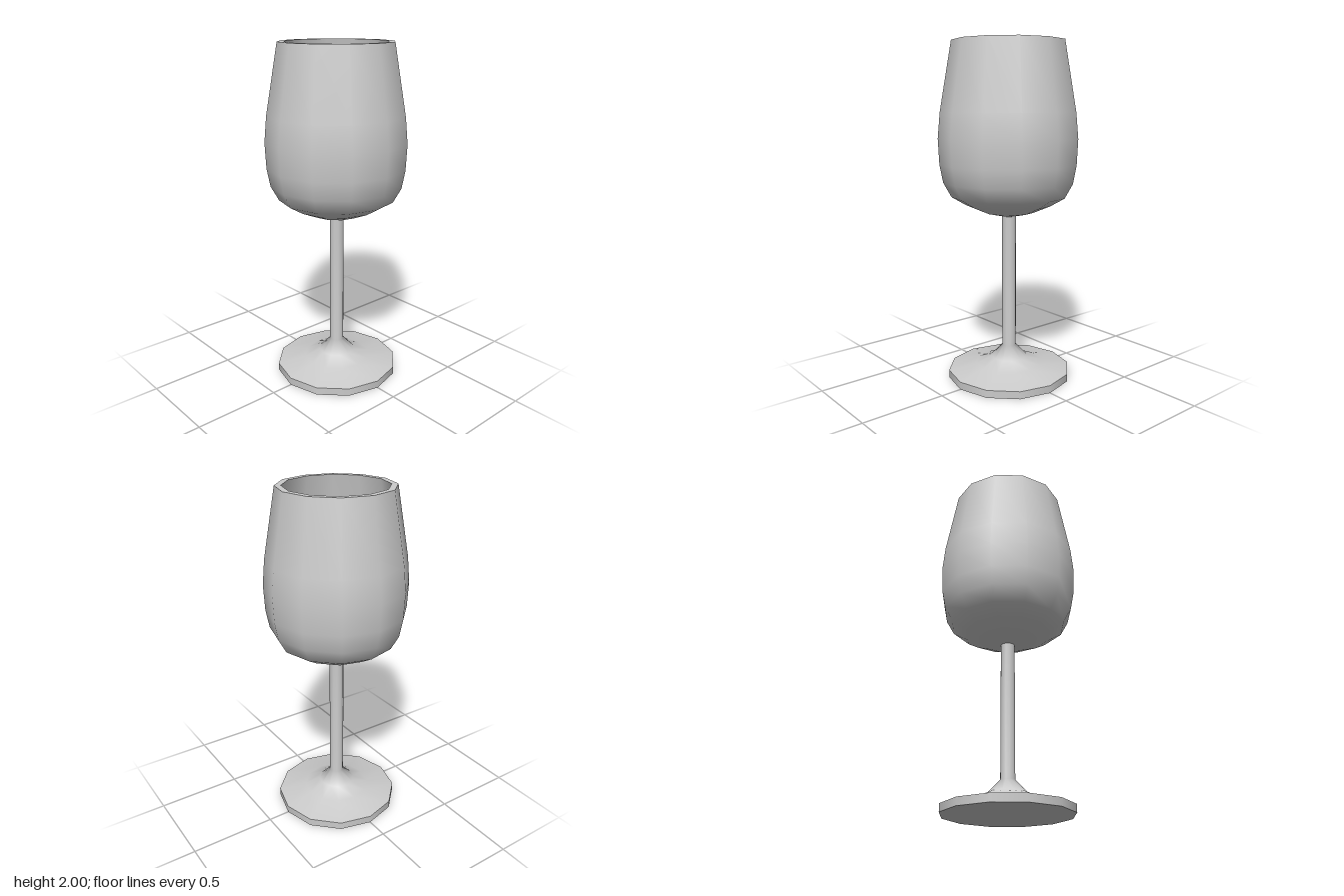
import * as THREE from 'three';

const SIDES = 12;

export function createModel() {
  const group = new THREE.Group();
  const material = new THREE.MeshStandardMaterial({ color: 0xcccccc });

  // Each profile is [radius, height] pairs; separate turnings keep their shared edges sharp.
  const turn = (name, profile) => {
    const points = profile.map(([r, y]) => new THREE.Vector2(r, y));
    const mesh = new THREE.Mesh(new THREE.LatheGeometry(points, SIDES), material);
    mesh.name = name;
    group.add(mesh);
  };

  // Foot: flat underside and upright edge
  turn('footUnderside', [[0, 0], [0.37, 0]]);
  turn('footEdge', [[0.37, 0], [0.37, 0.045]]);

  // Sloping top of the foot flowing into the stem
  turn('footAndStem', [
    [0.37, 0.045], [0.2, 0.08], [0.108, 0.12], [0.042, 0.19], [0.042, 0.99],
  ]);

  // Bowl: outside, rim and hollow inside
  turn('bowlOutside', [
    [0.042, 0.99], [0.15, 1.015], [0.255, 1.06], [0.34, 1.11], [0.387, 1.195],
    [0.407, 1.3], [0.414, 1.45], [0.4, 1.6], [0.33, 2],
  ]);
  turn('bowlRim', [[0.33, 2], [0.294, 2]]);
  turn('bowlInside', [
    [0.294, 2], [0.364, 1.595], [0.378, 1.45], [0.371, 1.305], [0.353, 1.21],
    [0.315, 1.138], [0.24, 1.094], [0.14, 1.05], [0.04, 1.027], [0, 1.025],
  ]);

  return group;
}
